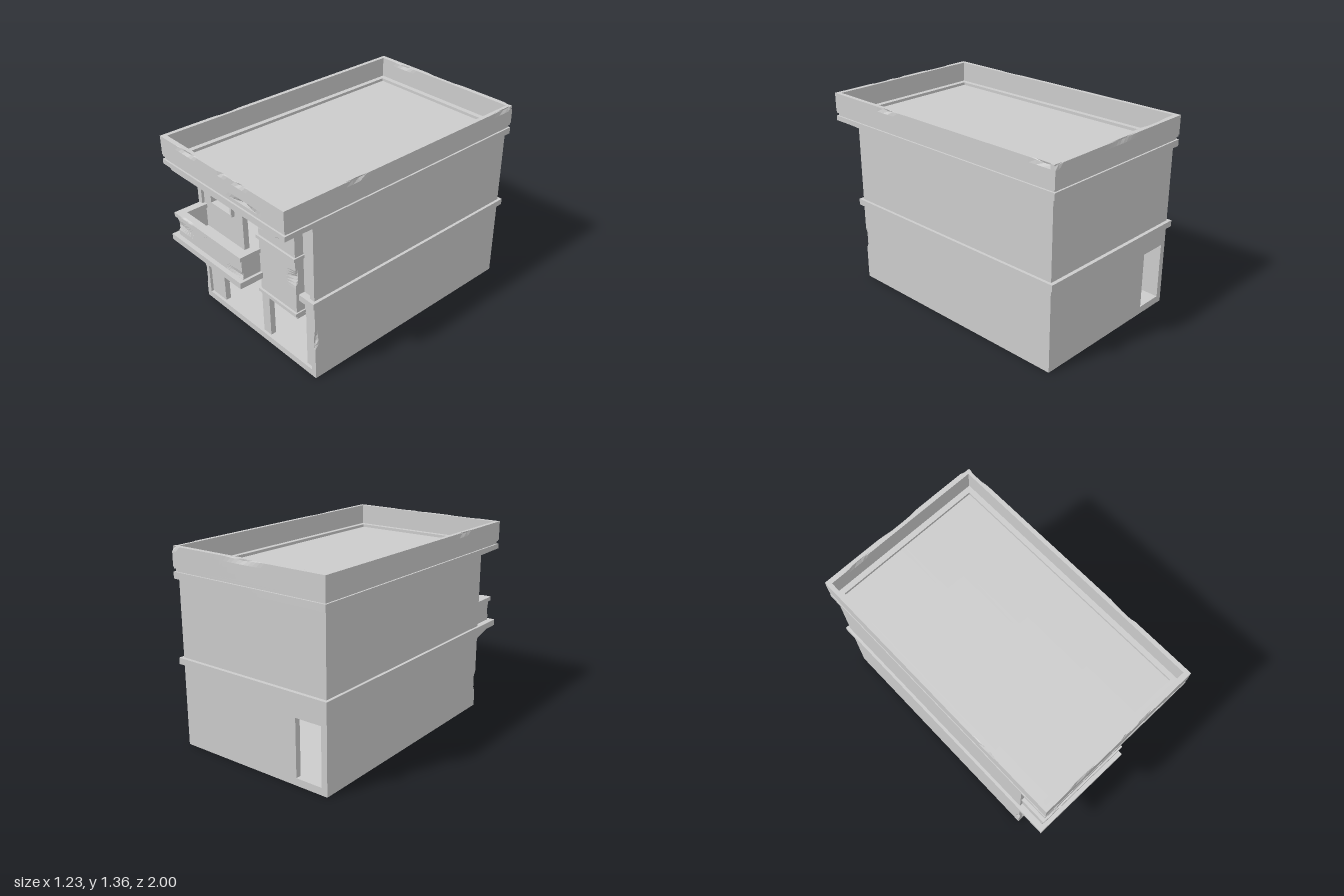
import * as THREE from 'three';

const material = new THREE.MeshStandardMaterial({ color: 0xcccccc, flatShading: true });

export function createModel() {
  const model = new THREE.Group();

  function add(name, geometry) {
    const mesh = new THREE.Mesh(geometry, material);
    mesh.name = name;
    model.add(mesh);
    return mesh;
  }

  // Box given by its limits. A chip dents one edge: the axis the edge runs
  // along, which side of the other two axes it lies on, position, half width, depth.
  function box(name, [x0, x1], [y0, y1], [z0, z1], chips = []) {
    const seg = (axis) => (chips.length === 0 ? 1 : chips.some((c) => c.axis === axis) ? 36 : 4);
    const g = new THREE.BoxGeometry(x1 - x0, y1 - y0, z1 - z0, seg('x'), seg('y'), seg('z'));
    g.translate((x0 + x1) / 2, (y0 + y1) / 2, (z0 + z1) / 2);
    const limits = { x: [x0, x1], y: [y0, y1], z: [z0, z1] };
    const p = g.attributes.position;
    const v = new THREE.Vector3();
    for (let i = 0; i < p.count; i++) {
      v.fromBufferAttribute(p, i);
      for (const { axis, side, at, half, depth } of chips) {
        const onEdge = Object.entries(side).every(([a, s]) => Math.abs(v[a] - limits[a][s]) < 1e-5);
        const dent = depth * Math.max(0, 1 - Math.abs(v[axis] - at) / half);
        if (onEdge && dent > 0) for (const [a, s] of Object.entries(side)) v[a] += s ? -dent : dent;
      }
      p.setXYZ(i, v.x, v.y, v.z);
    }
    return add(name, g);
  }

  // Flat outline in x and y, pushed out from z0 to z1
  function plate(name, points, z0, z1, holes = []) {
    const shape = new THREE.Shape(points.map(([x, y]) => new THREE.Vector2(x, y)));
    for (const [a, b, c, d] of holes) {
      shape.holes.push(new THREE.Path([[a, c], [a, d], [b, d], [b, c]].map(([x, y]) => new THREE.Vector2(x, y))));
    }
    const g = new THREE.ExtrudeGeometry(shape, { depth: z1 - z0, bevelEnabled: false });
    return add(name, g.translate(0, 0, z0));
  }

  const rect = (a, b, c, d) => [[a, c], [b, c], [b, d], [a, d]];
  const mirrored = (side, a, b) => (side > 0 ? [a, b] : [-b, -a]);

  // Rectangular ring lying flat, from y0 to y1
  function ring(name, outer, inner, y0, y1) {
    const m = plate(name, rect(-outer[0], outer[0], -outer[1], outer[1]), 0, y1 - y0,
      [[-inner[0], inner[0], -inner[1], inner[1]]]);
    m.geometry.rotateX(-Math.PI / 2).translate(0, y0, 0);
  }

  // Main shell
  box('groundFloor', [-0.595, 0.595], [0, 0.05], [-0.975, 0.78]);
  box('upperFloor', [-0.56, 0.56], [0.58, 0.62], [-0.95, 0.75]);
  for (const side of [-1, 1]) {
    box('sideWall', mirrored(side, 0.555, 0.595), [0.05, 1.17], [-0.975, 0.68]);
    box('frontCornerPost', mirrored(side, 0.555, 0.595), [0.05, 1.17], [0.68, 0.78], [
      { axis: 'y', side: { x: side > 0 ? 1 : 0, z: 1 }, at: side > 0 ? 0.31 : 0.19, half: 0.07, depth: 0.02 },
    ]);
  }
  plate('backWall', rect(-0.556, 0.556, 0.049, 1.17), -0.975, -0.935, [[-0.552, -0.355, 0.051, 0.45]]);

  // Recessed front wall with two ground openings, balcony door and window
  plate('frontWall', [
    [-0.556, 0.04], [-0.4, 0.04], [-0.4, 0.49], [0.04, 0.49], [0.04, 0.04], [0.115, 0.04],
    [0.115, 0.46], [0.49, 0.46], [0.49, 0.04], [0.556, 0.04], [0.556, 1.17], [-0.556, 1.17],
  ], 0.72, 0.76, [[-0.125, 0.075, 0.62, 1.025], [-0.435, -0.225, 0.86, 1.0]]);
  box('windowPane', [-0.45, -0.21], [0.85, 1.01], [0.69, 0.705]);
  plate('windowFrame', rect(-0.46, -0.21, 0.845, 1.02), 0.74, 0.785, [[-0.435, -0.225, 0.86, 1.0]]);
  box('doorLintel', [-0.14, 0.09], [1.037, 1.062], [0.75, 0.8], [
    { axis: 'x', side: { y: 0, z: 1 }, at: -0.06, half: 0.05, depth: 0.006 },
  ]);

  // Staircase along the back wall, behind a solid sloping balustrade
  plate('stairBalustrade', [[-0.02, 0.05], [0.31, 0.05], [0.31, 0.25], [-0.02, 0.58]], -0.74, -0.71);
  for (let i = 0; i < 9; i++) {
    box('stairStep', [-0.02, 0.345 - i * 0.04], [0.05 + i * 0.04, 0.09 + i * 0.04], [-0.94, -0.74]);
  }

  // Projecting bay on the upper storey
  box('bay', [0.13, 0.48], [0.46, 1.16], [0.75, 0.825], [
    { axis: 'y', side: { x: 0, z: 1 }, at: 1.03, half: 0.08, depth: 0.012 },
    { axis: 'y', side: { x: 1, z: 1 }, at: 0.75, half: 0.06, depth: 0.02 },
  ]);
  box('bayBaseTrim', [0.12, 0.49], [0.47, 0.492], [0.75, 0.84]);
  box('bayBaseLowerTrim', [0.125, 0.485], [0.447, 0.47], [0.75, 0.825]);
  box('bayMiddleTrim', [0.12, 0.49], [0.88, 0.903], [0.75, 0.84]);

  // Band course between the storeys
  for (const side of [-1, 1]) {
    box('sideBand', mirrored(side, 0.59, 0.615), [0.578, 0.622], [-1, 0.805]);
  }
  box('backBand', [-0.59, 0.59], [0.578, 0.622], [-1, -0.97]);
  box('frontBand', [0.48, 0.59], [0.578, 0.622], [0.75, 0.805]);

  // Balcony
  box('balconySlab', [-0.615, 0.15], [0.578, 0.622], [0.75, 1]);
  box('balconyFrontWall', [-0.573, 0.13], [0.622, 0.77], [0.935, 0.967], [
    { axis: 'y', side: { x: 0, z: 1 }, at: 0.7, half: 0.04, depth: 0.013 },
    { axis: 'y', side: { x: 1, z: 1 }, at: 0.65, half: 0.03, depth: 0.012 },
  ]);
  box('balconyFrontCap', [-0.585, 0.14], [0.768, 0.798], [0.92, 0.982], [
    { axis: 'x', side: { y: 1, z: 1 }, at: -0.44, half: 0.07, depth: 0.009 },
    { axis: 'x', side: { y: 0, z: 1 }, at: -0.19, half: 0.05, depth: 0.007 },
  ]);
  for (const [a, b, c, d] of [[-0.573, -0.54, -0.585, -0.528], [0.097, 0.13, 0.085, 0.14]]) {
    box('balconySideWall', [a, b], [0.622, 0.77], [0.755, 0.935]);
    box('balconySideCap', [c, d], [0.768, 0.798], [0.755, 0.92]);
  }
  // Sloping bracket under the balcony's outer end
  const bracket = plate('balconyBracket', [[0.75, 0.515], [0.97, 0.58], [0.75, 0.58]], 0, 0.04);
  bracket.geometry.rotateY(-Math.PI / 2).translate(-0.555, 0, 0);

  // Roof slab, cornice and chipped parapet
  box('roofSlab', [-0.6, 0.6], [1.16, 1.195], [-0.985, 0.985]);
  box('cornice', [-0.615, 0.615], [1.152, 1.198], [-1, 1], [-1, 1].map((s) => (
    { axis: 'x', side: { y: 0, z: 1 }, at: s * 0.615, half: 0.1, depth: 0.016 }
  )));
  ring('corniceNeck', [0.603, 0.988], [0.548, 0.925], 1.195, 1.218);
  ring('parapetFoot', [0.612, 0.997], [0.585, 0.965], 1.218, 1.232);

  const topChip = (axis, side, at, half, depth) => ({ axis, side: { y: 1, ...side }, at, half, depth });
  box('parapetFront', [-0.615, 0.615], [1.23, 1.362], [0.965, 1], [
    topChip('x', { z: 1 }, -0.32, 0.11, 0.015),
    topChip('x', { z: 1 }, 0.04, 0.04, 0.01),
    topChip('x', { z: 1 }, 0.21, 0.07, 0.012),
    { axis: 'x', side: { y: 0, z: 1 }, at: 0.24, half: 0.15, depth: 0.017 },
  ]);
  box('parapetBack', [-0.615, 0.615], [1.23, 1.362], [-1, -0.965], [
    topChip('x', { z: 0 }, 0, 0.16, 0.01),
    topChip('x', { z: 1 }, -0.36, 0.1, 0.012),
    topChip('x', { z: 0 }, 0.615, 0.06, 0.015),
  ]);
  box('parapetRight', [-0.615, -0.585], [1.23, 1.362], [-0.965, 0.965], [
    topChip('z', { x: 0 }, 0.5, 0.08, 0.014),
  ]);
  box('parapetLeft', [0.585, 0.615], [1.23, 1.362], [-0.965, 0.965], [
    topChip('z', { x: 1 }, 0.44, 0.08, 0.015),
    topChip('z', { x: 1 }, -0.93, 0.1, 0.015),
  ]);

  return model;
}
